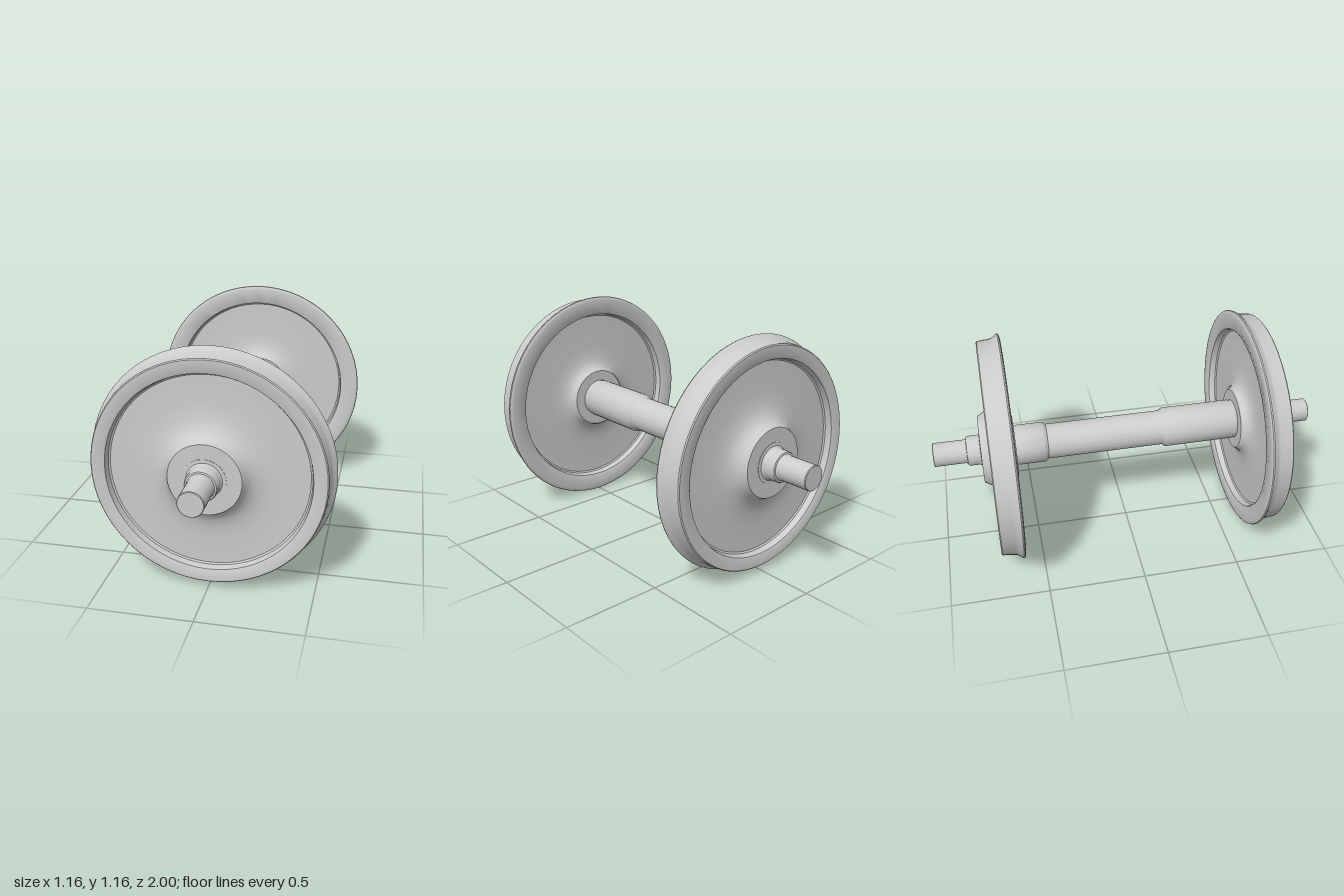
import * as THREE from 'three';
import { toCreasedNormals } from 'three/addons/utils/BufferGeometryUtils.js';

const AXLE_HEIGHT = 0.58;

// Turns a profile of [radius, z] pairs around the z axis, keeping hard corners sharp
function turned(name, profile, segments, material) {
  const points = profile.map(([r, z]) => new THREE.Vector2(r, z));
  const geometry = new THREE.LatheGeometry(points, segments).rotateX(Math.PI / 2);
  const mesh = new THREE.Mesh(toCreasedNormals(geometry, 0.62), material);
  mesh.name = name;
  return mesh;
}

export function createModel() {
  const material = new THREE.MeshStandardMaterial({ color: 0xcccccc });
  const group = new THREE.Group();
  group.name = 'wheelset';

  // Wheel section: inner face, flange, tread, outer face, hub
  const wheelProfile = [
    [0.09, 0.585], [0.157, 0.585], [0.163, 0.59],
    [0.168, 0.602], [0.18, 0.617], [0.2, 0.628], [0.235, 0.637], [0.29, 0.642],
    [0.468, 0.642], [0.476, 0.636], [0.482, 0.604], [0.488, 0.6],
    [0.562, 0.6], [0.572, 0.602], [0.578, 0.606], [0.58, 0.612],
    [0.577, 0.619], [0.569, 0.628], [0.562, 0.638], [0.558, 0.65],
    [0.551, 0.715], [0.546, 0.72],
    [0.489, 0.72], [0.483, 0.716], [0.476, 0.684], [0.468, 0.678],
    [0.335, 0.678], [0.275, 0.684], [0.235, 0.694], [0.207, 0.709],
    [0.19, 0.726], [0.18, 0.745], [0.172, 0.76], [0.09, 0.76],
  ];
  for (const [name, angle] of [['frontWheel', 0], ['backWheel', Math.PI]]) {
    const wheel = turned(name, wheelProfile, 64, material);
    wheel.rotation.y = angle;
    wheel.position.y = AXLE_HEIGHT;
    group.add(wheel);
  }

  // Stepped journal beyond each wheel, from the hub to the axle end
  const journal = [
    [0.102, 0.572], [0.102, 0.762], [0.085, 0.763], [0.08, 0.768], [0.077, 0.776],
    [0.077, 0.822], [0.073, 0.83], [0.065, 0.832], [0.061, 0.842],
    [0.061, 0.997], [0.058, 1], [0, 1],
  ];
  const backJournal = journal.map(([r, z]) => [r, -z]).reverse();

  // Axle with a longer thick seat towards the front
  const axleProfile = [
    ...backJournal,
    [0.104, -0.565], [0.104, -0.44], [0.1, -0.432], [0.091, -0.42],
    [0.091, 0.185], [0.1, 0.198], [0.104, 0.206], [0.104, 0.565],
    ...journal,
  ];
  const axle = turned('axle', axleProfile, 24, material);
  axle.position.y = AXLE_HEIGHT;
  group.add(axle);

  return group;
}
